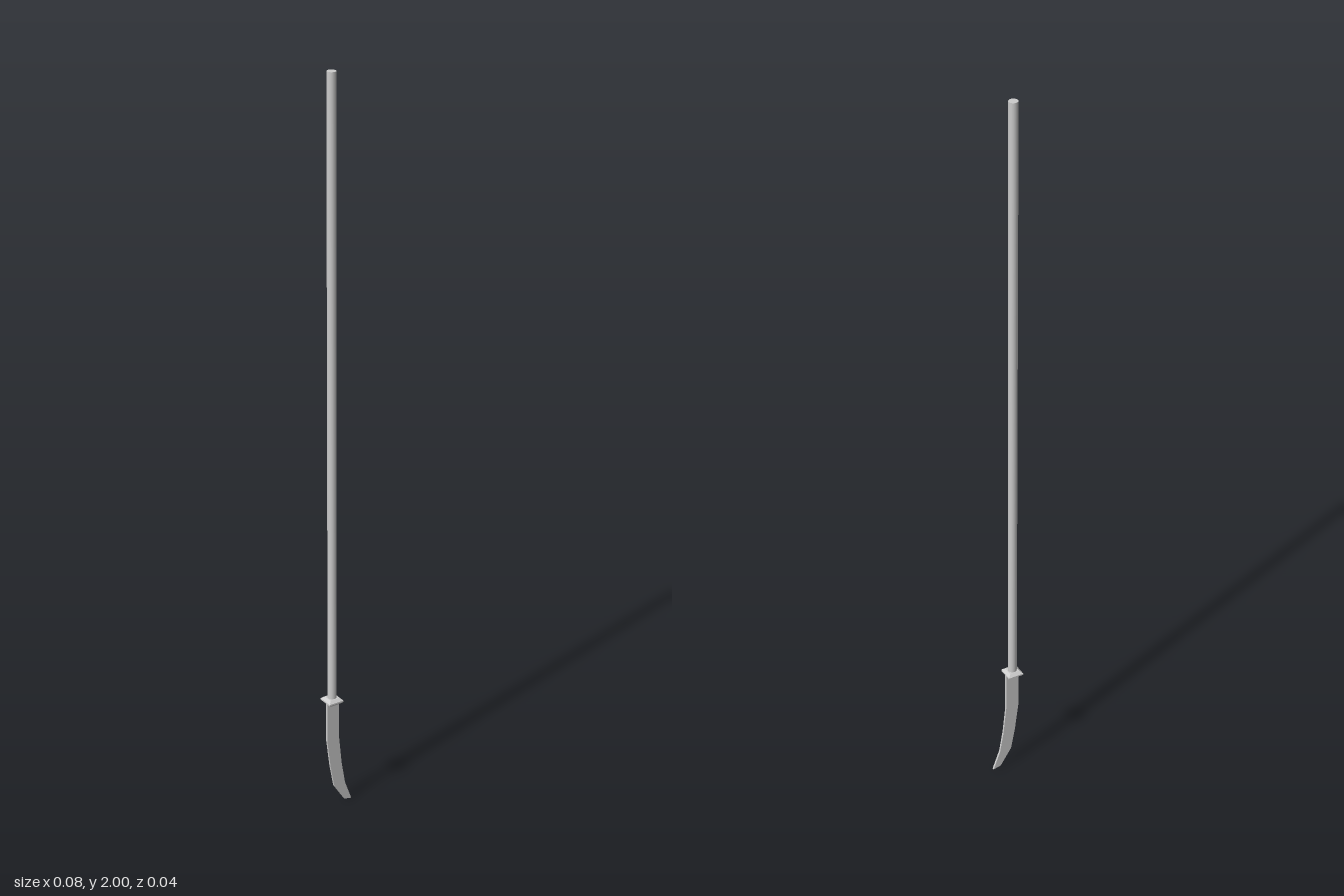
import * as THREE from 'three';

export function createModel() {
  const group = new THREE.Group();
  const axisX = -0.019; // shaft and guard axis
  const smooth = new THREE.MeshStandardMaterial({ color: 0xcccccc });
  const flat = new THREE.MeshStandardMaterial({ color: 0xcccccc, flatShading: true });

  const add = (name, geometry, material, x, y) => {
    const mesh = new THREE.Mesh(geometry, material);
    mesh.name = name;
    mesh.position.set(x, y, 0);
    group.add(mesh);
  };

  // Long round shaft
  const bottom = 0.312, top = 2;
  add('shaft', new THREE.CylinderGeometry(0.012, 0.012, top - bottom, 16), smooth,
    axisX, (top + bottom) / 2);

  // Square guard, bevelled above and below
  const d = Math.SQRT2;
  const profile = [[0, -0.009], [0.014, -0.009], [0.0215, -0.002], [0.0215, 0.002], [0.014, 0.009], [0, 0.009]]
    .map(([half, y]) => new THREE.Vector2(half * d, y));
  const guard = new THREE.LatheGeometry(profile, 4);
  guard.rotateY(Math.PI / 4);
  add('guard', guard, flat, axisX, 0.318);

  // Thin curved blade with a slanted tip
  const outline = new THREE.Shape([
    [-0.036, 0.316], [-0.036, 0.2], [-0.026, 0.12], [-0.014, 0.055], [0.018, 0.005],
    [0.04, 0], [0.02, 0.055], [0.009, 0.12], [0.001, 0.2], [0.001, 0.316],
  ].map(([x, y]) => new THREE.Vector2(x, y)));
  const thickness = 0.006;
  const blade = new THREE.ExtrudeGeometry(outline, { depth: thickness, bevelEnabled: false });
  blade.translate(0, 0, -thickness / 2);
  add('blade', blade, flat, 0, 0);

  return group;
}
